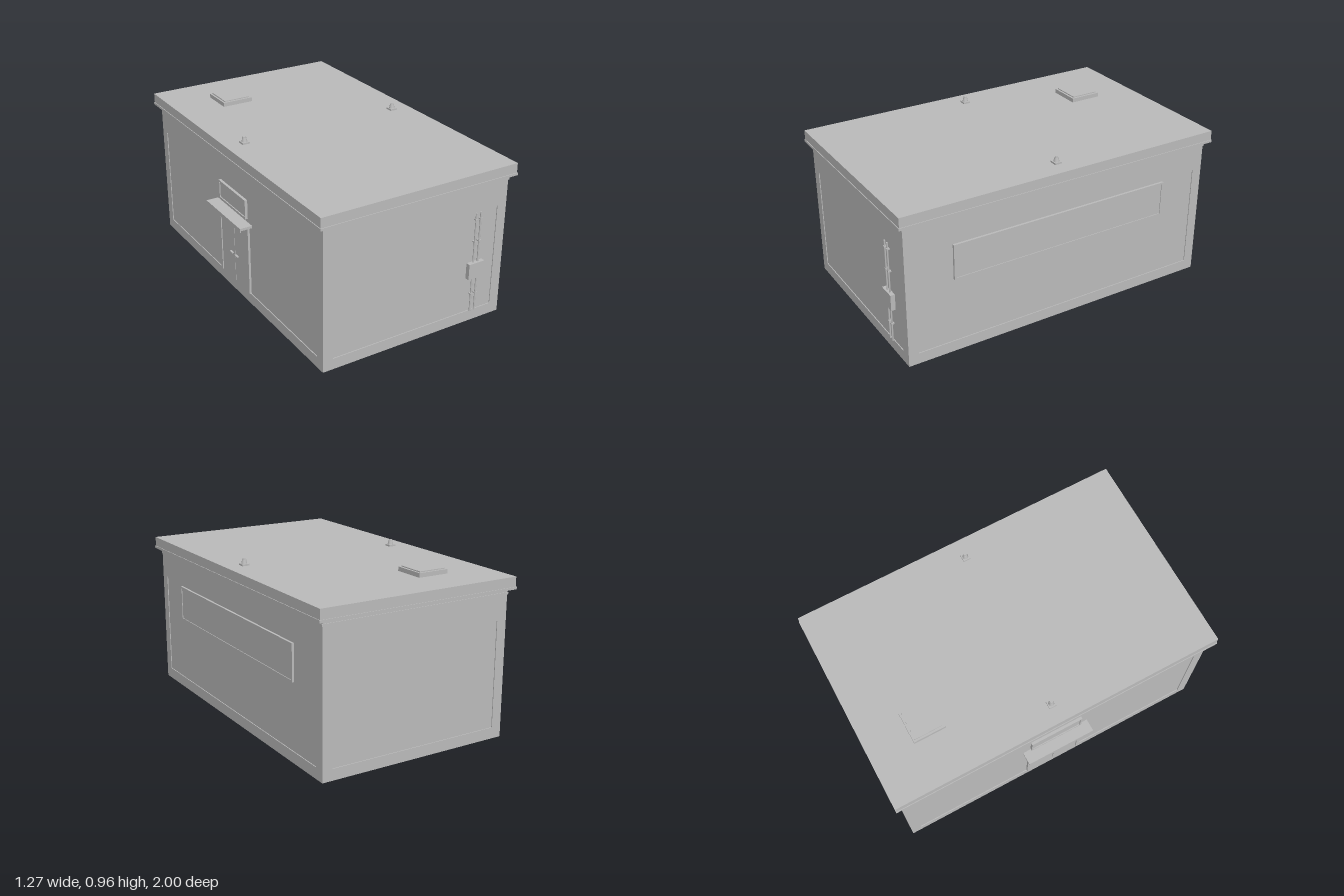
import * as THREE from 'three';

export function createModel() {
  const model = new THREE.Group();
  const grey = new THREE.MeshStandardMaterial({ color: 0xbcbcbc });
  grey.name = 'plain grey';

  const add = (name, geo, parent = model) => {
    const mesh = new THREE.Mesh(geo, grey);
    mesh.name = name;
    parent.add(mesh);
    return mesh;
  };
  // box given by its limits on each axis
  const box = (name, x0, x1, y0, y1, z0, z1, parent) => {
    const g = new THREE.BoxGeometry(x1 - x0, y1 - y0, z1 - z0);
    g.translate((x0 + x1) / 2, (y0 + y1) / 2, (z0 + z1) / 2);
    return add(name, g, parent);
  };
  // rectangular ring, extruded upward from y0 to y1
  const ring = (name, x0, x1, z, y0, y1, t) => {
    const rect = (P, a, b, c) => new P().moveTo(a, -c).lineTo(b, -c).lineTo(b, c).lineTo(a, c).closePath();
    const s = rect(THREE.Shape, x0, x1, z);
    s.holes.push(rect(THREE.Path, x0 + t, x1 - t, z - t));
    const g = new THREE.ExtrudeGeometry(s, { depth: y1 - y0, bevelEnabled: false });
    g.rotateX(-Math.PI / 2).translate(0, y0, 0);
    return add(name, g);
  };

  const L = -0.565, R = 0.598, Z = 0.967; // wall limits
  const plinth = 0.065, frieze = 0.68, post = 0.06, inset = 0.005, t = 0.012;

  // hollow shell: plinth, frieze and cornice
  ring('plinth', L, R, Z, 0, plinth, t);
  ring('frieze', L, R, Z, frieze, 0.87, t);
  ring('lowerCornice', L - 0.004, R + 0.004, Z + 0.004, 0.82, 0.833, 0.01);
  ring('upperCornice', L - 0.012, R + 0.012, Z + 0.012, 0.85, 0.872, 0.02);

  // recessed wall panels and L-shaped corner posts
  for (const s of [-1, 1]) {
    const zo = s * (Z - inset), zi = s * (Z - t);
    box(s > 0 ? 'frontWall' : 'backWall', L + post, R - post, plinth, frieze, Math.min(zo, zi), Math.max(zo, zi));
    const a = Math.min(s * Z, s * (Z - post)), b = Math.max(s * Z, s * (Z - post));
    const c = Math.min(s * Z, zi), d = Math.max(s * Z, zi);
    box('cornerPost', L, L + post, plinth, frieze, c, d);
    box('cornerPost', R - post, R, plinth, frieze, c, d);
    box('cornerPost', L, L + t, plinth, frieze, a, b);
    box('cornerPost', R - t, R, plinth, frieze, a, b);
  }
  box('rightWall', L + inset, L + t, plinth, frieze, post - Z, Z - post);
  box('leftWall', R - t, R - inset, plinth, frieze, post - Z, Z - post);

  // roof slab with a hanging skirt and drip edge
  box('roofSlab', -0.597, 0.629, 0.87, 0.92, -0.996, 0.996);
  ring('roofSkirt', -0.597, 0.629, 0.996, 0.85, 0.87, 0.008);
  ring('dripEdge', -0.601, 0.633, 1, 0.85, 0.864, 0.008);

  // roof hatch
  const hatch = new THREE.Group();
  hatch.name = 'roofHatch';
  model.add(hatch);
  box('hatchCurb', -0.328, -0.138, 0.92, 0.945, -0.75, -0.56, hatch);
  box('hatchLid', -0.316, -0.15, 0.945, 0.951, -0.738, -0.572, hatch);

  // small roof vents
  for (const x of [-0.482, 0.514]) {
    const vent = new THREE.Group();
    vent.name = 'roofVent';
    vent.position.set(x, 0.92, 0);
    model.add(vent);
    box('ventBase', -0.022, 0.022, 0, 0.01, -0.022, 0.022, vent);
    add('ventCone', new THREE.CylinderGeometry(0.011, 0.017, 0.026, 12).translate(0, 0.022, 0), vent);
    add('ventCap', new THREE.CylinderGeometry(0.009, 0.009, 0.006, 12).translate(0, 0.037, 0), vent);
  }

  // long window on the +x side: frame around a pane
  const [wy0, wy1, wz] = [0.452, 0.662, 0.685];
  box('longWindowPane', R - 0.008, R + 0.004, wy0, wy1, -wz, wz);
  for (const s of [-1, 1]) {
    const z = s * (wz - 0.006), y = s < 0 ? wy0 : wy1 - 0.01;
    box('longWindowJamb', R - 0.008, R + 0.008, wy0, wy1, z - 0.006, z + 0.006);
    box('longWindowRail', R - 0.008, R + 0.008, y, y + 0.01, -wz, wz);
  }

  // double door, transom window and canopy on the -x side
  for (const s of [-1, 1]) {
    const span = (a, b) => (s > 0 ? [a, b] : [-b, -a]);
    box('doorLeaf', L - 0.002, L + 0.008, plinth, 0.475, ...span(0.002, 0.16));
    box('doorJamb', L - 0.008, L + 0.008, plinth, 0.49, ...span(0.16, 0.18));
    box('doorHandle', L - 0.015, L, 0.24, 0.246, ...span(0.015, 0.045));
    box('transomJamb', L - 0.011, L + 0.008, 0.54, 0.655, ...span(0.152, 0.162));
  }
  box('doorHead', L - 0.008, L + 0.008, 0.475, 0.49, -0.18, 0.18);
  box('transomPane', L - 0.005, L + 0.008, 0.54, 0.655, -0.152, 0.152);
  for (const y of [0.54, 0.645]) box('transomRail', L - 0.011, L + 0.008, y, y + 0.01, -0.152, 0.152);
  box('canopy', -0.635, L + 0.01, 0.502, 0.517, -0.21, 0.21);
  box('canopyLip', -0.635, -0.629, 0.492, 0.502, -0.21, 0.21);

  // twin conduits, clamps and junction box on the front
  for (const x of [0.391, 0.421]) {
    add('conduit', new THREE.CylinderGeometry(0.005, 0.005, 0.61, 10).translate(x, 0.37, 0.973));
    for (const y of [0.637, 0.503, 0.176]) box('conduitClamp', x - 0.008, x + 0.008, y - 0.004, y + 0.004, 0.96, 0.98);
  }
  box('junctionBox', 0.354, 0.456, 0.28, 0.375, 0.96, 0.988);

  return model;
}
